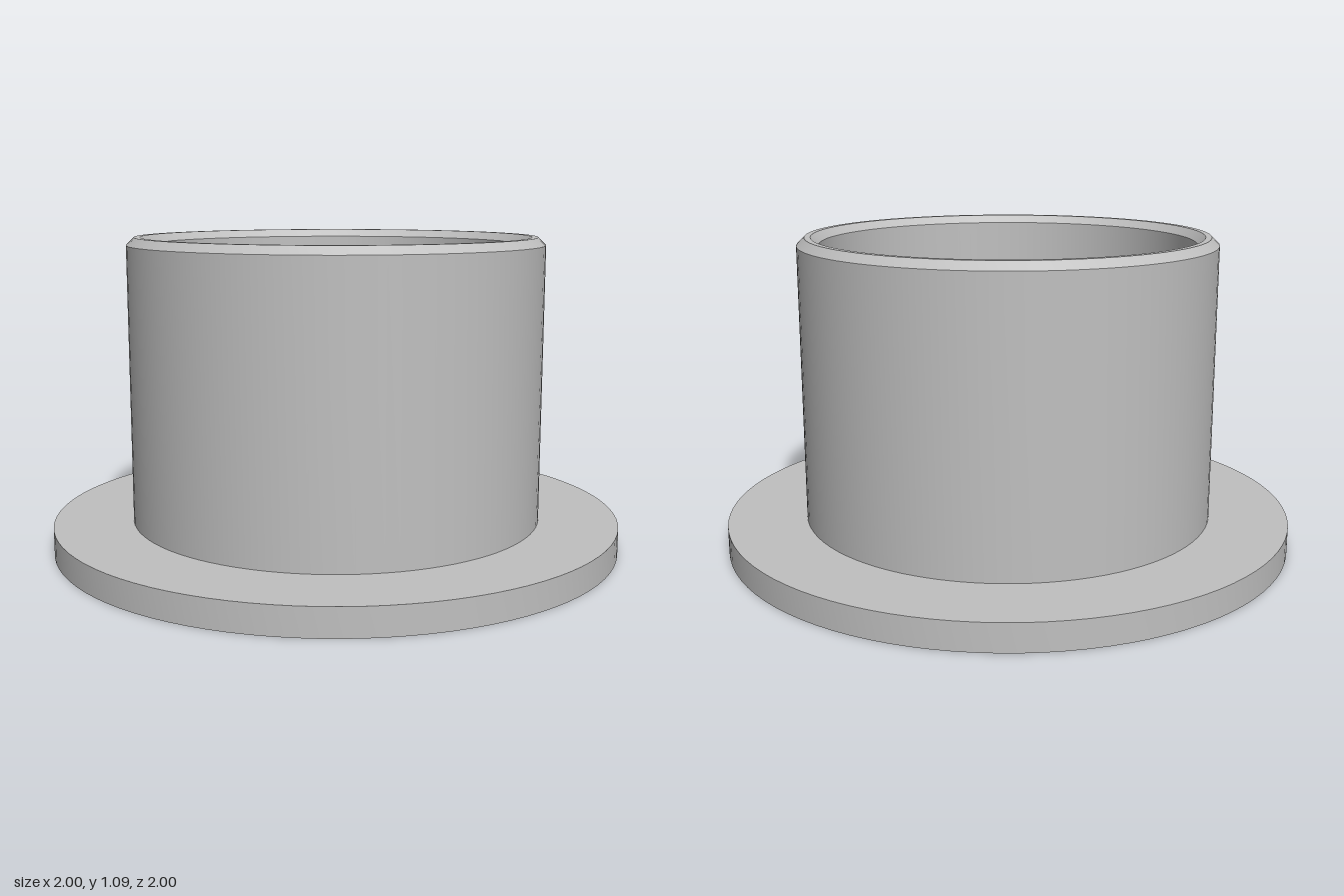
import * as THREE from 'three';
import { toCreasedNormals } from 'three/addons/utils/BufferGeometryUtils.js';

const SEGMENTS = 96;
const BORE = 0.65, SLEEVE = 0.725, FLANGE = 1;
const FLANGE_TOP = 0.095, HEIGHT = 1.085, CHAMFER = 0.027;

// Revolve a profile (outer side running upward) and keep its corners sharp
function revolve(name, profile, material) {
  const points = profile.map(([r, y]) => new THREE.Vector2(r, y));
  const geometry = toCreasedNormals(new THREE.LatheGeometry(points, SEGMENTS), 0.4);
  const mesh = new THREE.Mesh(geometry, material);
  mesh.name = name;
  return mesh;
}

export function createModel() {
  const group = new THREE.Group();
  group.name = 'flangedBushing';
  const metal = new THREE.MeshStandardMaterial({ color: 0xc0c0c0 });
  metal.name = 'grey metal';

  // Flat ring at the base, with its share of the bore
  group.add(revolve('flange', [
    [SLEEVE, FLANGE_TOP], [BORE, FLANGE_TOP], [BORE, 0], [FLANGE, 0], [FLANGE, FLANGE_TOP], [SLEEVE, FLANGE_TOP],
  ].slice(1), metal));

  // Tube with chamfers on both edges of its rim
  group.add(revolve('sleeve', [
    [SLEEVE, FLANGE_TOP],
    [SLEEVE, HEIGHT - CHAMFER],
    [SLEEVE - CHAMFER, HEIGHT],
    [BORE + CHAMFER, HEIGHT],
    [BORE, HEIGHT - CHAMFER],
    [BORE, FLANGE_TOP],
  ], metal));

  return group;
}
